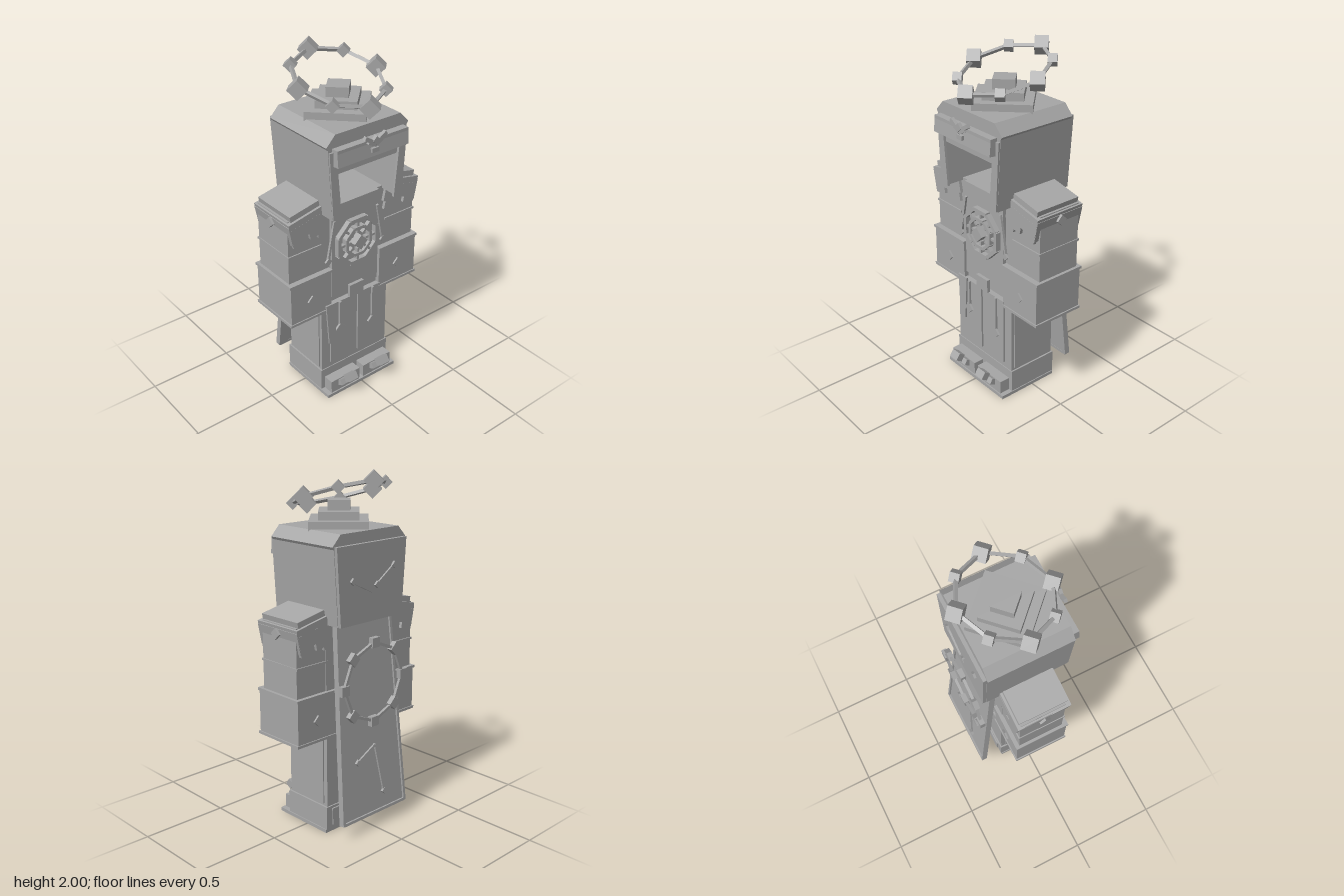
import * as THREE from 'three';

export function createModel() {
  const root = new THREE.Group();
  const grey = new THREE.MeshStandardMaterial({ color: 0xa6a6a6 });
  grey.name = 'stone grey';

  const add = (name, geo, x = 0, y = 0, z = 0, parent = root) => {
    const m = new THREE.Mesh(geo, grey);
    m.name = name;
    m.position.set(x, y, z);
    parent.add(m);
    return m;
  };
  const box = (name, w, h, d, x, y, z, parent) => add(name, new THREE.BoxGeometry(w, h, d), x, y, z, parent);
  // Box given by its limits
  const span = (name, x0, x1, y0, y1, z0, z1, parent) =>
    box(name, x1 - x0, y1 - y0, z1 - z0, (x0 + x1) / 2, (y0 + y1) / 2, (z0 + z1) / 2, parent);
  // Square bar between two points
  const bar = (name, a, b, t, parent, d = t) => {
    const p = new THREE.Vector3(...a), q = new THREE.Vector3(...b);
    const m = box(name, t, p.distanceTo(q), d, 0, 0, 0, parent);
    m.position.copy(p).add(q).multiplyScalar(0.5);
    m.quaternion.setFromUnitVectors(new THREE.Vector3(0, 1, 0), q.sub(p).normalize());
    return m;
  };
  // Square stud standing on its corner, facing z
  const diamond = (name, s, x, y, z, parent, d = 0.012) => {
    const m = box(name, s, s, d, x, y, z, parent);
    m.rotation.z = Math.PI / 4;
    return m;
  };
  const plate = (name, pts, depth, z, parent) => {
    const shape = new THREE.Shape(pts.map(p => new THREE.Vector2(...p)));
    return add(name, new THREE.ExtrudeGeometry(shape, { depth, bevelEnabled: false }), 0, 0, z, parent);
  };

  // Torso and legs
  span('torso', -0.235, 0.235, 0.57, 1.22, -0.145, 0.13);
  span('chestPanel', -0.165, 0.165, 0.64, 1.22, 0.13, 0.15);
  span('beltBuckle', -0.05, 0.05, 0.6, 0.68, 0.15, 0.17);
  span('legs', -0.24, 0.24, 0.1, 0.6, -0.155, 0.15);
  for (const s of [-1, 1]) {
    box('legPanel', 0.165, 0.41, 0.012, s * 0.1, 0.395, 0.155);
    box('legSidePanel', 0.01, 0.4, 0.26, s * 0.242, 0.37, 0);
    const x = s * 0.12;
    const y = s < 0 ? 0.42 : 0.37;
    bar('tasselCord', [x, 0.6, 0.167], [x, y, 0.167], 0.014);
    diamond('tasselGem', 0.05, x, y, 0.17);
    // Cord hanging from the collar
    bar('collarCord', [s * 0.15, 1.13, 0.155], [s * 0.195, 0.9, 0.155], 0.014);
    diamond('collarGem', 0.032, s * 0.195, 0.895, 0.158);
  }
  plate('waistRibbon', [[-0.22, 0.61], [-0.14, 0.61], [-0.16, 0.33], [-0.2, 0.34]], 0.01, 0.161);

  // Boots with curled toes
  span('sole', -0.255, 0.255, 0, 0.02, -0.16, 0.228);
  span('bootBlock', -0.25, 0.25, 0.02, 0.155, -0.163, 0.155);
  for (const s of [-1, 1]) {
    box('toeBlock', 0.21, 0.08, 0.07, s * 0.12, 0.06, 0.185);
    box('toeTip', 0.11, 0.035, 0.05, s * 0.12, 0.077, 0.225).rotation.x = -0.5;
    box('toeCurl', 0.065, 0.045, 0.045, s * 0.12, 0.122, 0.268).rotation.x = -0.6;
    box('heelPanel', 0.18, 0.1, 0.012, s * 0.12, 0.09, -0.165);
  }

  // Medallion: two octagons of bars, spokes and a central gem
  const medal = new THREE.Group();
  medal.name = 'medallion';
  medal.position.set(0, 0.965, 0.165);
  root.add(medal);
  const polar = (r, i, off = 0, z = 0) => {
    const a = (i + off) * Math.PI / 4;
    return [r * Math.cos(a), r * Math.sin(a), z];
  };
  for (let i = 0; i < 8; i++) {
    bar('outerRing', polar(0.143, i, 0.5), polar(0.143, i, 1.5), 0.022, medal, 0.03);
    bar('innerRing', polar(0.09, i, 0.5), polar(0.09, i, 1.5), 0.018, medal, 0.04);
    bar('spoke', polar(0.05, i), polar(0.135, i), 0.014, medal, 0.024);
  }
  diamond('medallionGem', 0.065, 0, 0, 0.015, medal, 0.045);

  // Arms, gauntlets and pauldrons, mirrored
  for (const s of [-1, 1]) {
    span('arm', Math.min(s * 0.225, s * 0.44), Math.max(s * 0.225, s * 0.44), 0.83, 1.22, -0.14, 0.13);
    box('armBand', 0.22, 0.012, 0.285, s * 0.335, 1.0, -0.005);
    box('gauntlet', 0.275, 0.25, 0.315, s * 0.312, 0.7, 0);
    box('gauntletRim', 0.287, 0.015, 0.327, s * 0.314, 0.828, 0);
    box('gauntletRim', 0.287, 0.015, 0.327, s * 0.314, 0.575, 0);
    for (const f of [-1, 1]) diamond('gauntletGem', 0.045, s * 0.31, 0.69, f * 0.162);

    const pauldron = new THREE.Group();
    pauldron.name = 'pauldron';
    pauldron.position.set(s * 0.325, 1.2, 0);
    pauldron.rotation.z = -s * 0.2;
    root.add(pauldron);
    box('pauldronTop', 0.19, 0.05, 0.285, 0, 0.045, 0, pauldron);
    box('pauldronCap', 0.23, 0.05, 0.315, s * 0.005, 0.012, 0, pauldron);
    box('pauldronSide', 0.016, 0.12, 0.315, s * 0.115, -0.04, 0, pauldron);
    const hem = [[-0.115, 0], [0.12, 0], [0.12, -0.115], [0.04, -0.115], [0.04, -0.08],
      [0.01, -0.08], [0.01, -0.12], [-0.04, -0.12], [-0.04, -0.14], [-0.1, -0.14], [-0.1, -0.09], [-0.115, -0.09]]
      .map(([x, y]) => [s * x, y]);
    plate('pauldronHem', hem, 0.018, 0.14, pauldron);
    plate('pauldronHem', hem, 0.018, -0.158, pauldron);
    const gem = box('pauldronGem', 0.014, 0.045, 0.045, s * 0.458, 1.17, 0);
    gem.rotation.x = Math.PI / 4;
  }

  // Hollow hood: side walls and roof as one arch, closed at the back
  plate('hoodShell', [[-0.235, 1.205], [-0.262, 1.615], [-0.272, 1.63], [-0.215, 1.69], [0.215, 1.69],
    [0.272, 1.63], [0.262, 1.615], [0.235, 1.205], [0.205, 1.205], [0.225, 1.6], [-0.225, 1.6], [-0.205, 1.205]], 0.48, -0.235);
  plate('hoodBack', [[-0.232, 1.205], [0.232, 1.205], [0.26, 1.63], [-0.26, 1.63]], 0.035, -0.255);
  for (const s of [-1, 1])
    plate('hoodFrontEdge', [[s * 0.235, 1.21], [s * 0.258, 1.6], [s * 0.215, 1.6], [s * 0.18, 1.21]], 0.015, 0.24);
  span('hoodInnerBrow', -0.215, 0.215, 1.46, 1.6, 0.2, 0.235);
  box('hoodBrow', 0.47, 0.08, 0.045, 0, 1.565, 0.268).rotation.x = -0.1;
  box('hoodBrowTrim', 0.47, 0.018, 0.05, 0, 1.61, 0.262);
  for (const s of [-1, 1]) {
    bar('browWing', [0, 1.6, 0.297], [s * 0.07, 1.645, 0.297], 0.022, root, 0.02);
    bar('browWing', [0, 1.59, 0.295], [s * 0.045, 1.615, 0.295], 0.016, root, 0.02);
  }
  diamond('browGem', 0.035, 0, 1.62, 0.302, root, 0.02);
  box('browStud', 0.045, 0.025, 0.02, 0, 1.565, 0.295);

  // Stepped crown turned by 45 degrees
  [[0.225, 1.68, 1.73], [0.155, 1.73, 1.775], [0.085, 1.775, 1.83]].forEach(([r, y0, y1]) => {
    const w = r * Math.SQRT2;
    box('crownStep', w, y1 - y0, w, 0, (y0 + y1) / 2, 0).rotation.y = Math.PI / 4;
  });

  // Tilted halo of cubes joined by rods
  const halo = i => {
    const [x, z] = polar(i % 2 ? 0.247 : 0.256, i);
    return [x, 1.865 - z * 0.32, z];
  };
  for (let i = 0; i < 8; i++) {
    const e = i % 2 ? 0.05 : 0.075;
    const c = box('haloCube', e, e, e, ...halo(i));
    c.rotation.set(Math.PI / 4, Math.PI / 4, 0, 'YXZ');
    bar('haloRod', halo(i), halo(i + 1), 0.018);
  }

  // Cape hanging away from the back
  const cape = new THREE.Group();
  cape.name = 'cape';
  cape.position.set(0, 1.22, -0.165);
  cape.rotation.x = 0.09;
  root.add(cape);
  plate('capeSheet', [[-0.205, 0], [0.205, 0], [0.25, -1.14], [-0.25, -1.14]], 0.022, -0.022, cape);
  for (const s of [-1, 1])
    bar('capeEdge', [s * 0.2, 0, -0.016], [s * 0.245, -1.14, -0.016], 0.016, cape, 0.034);
  box('capeHem', 0.49, 0.016, 0.034, 0, -1.135, -0.016, cape);

  // Hand pairs on the cape and on the back of the hood
  const hands = (pivot, ends, z, parent) => ends.forEach(([x, y]) => {
    bar('hand', [...pivot, z], [x, y, z], 0.014, parent);
    diamond('handTip', 0.028, x, y, z, parent, 0.02);
  });
  hands([-0.03, -0.74], [[0.11, -0.81], [-0.08, -1.03]], -0.026, cape);
  hands([0.01, 1.37], [[0.15, 1.44]], -0.258, root);
  hands([-0.03, 1.4], [[-0.16, 1.49], [-0.03, 1.4]], -0.258, root);

  // Upright ring of blocks behind the cape
  const ring = i => {
    const [x, y] = polar(0.225, i);
    return [x, 0.865 + y, -0.273];
  };
  for (let i = 0; i < 8; i++) {
    const b = box('ringBlock', 0.055, 0.055, 0.03, ...ring(i));
    b.rotation.z = i * Math.PI / 4;
    bar('ringRod', ring(i), ring(i + 1), 0.016);
  }
  return root;
}
